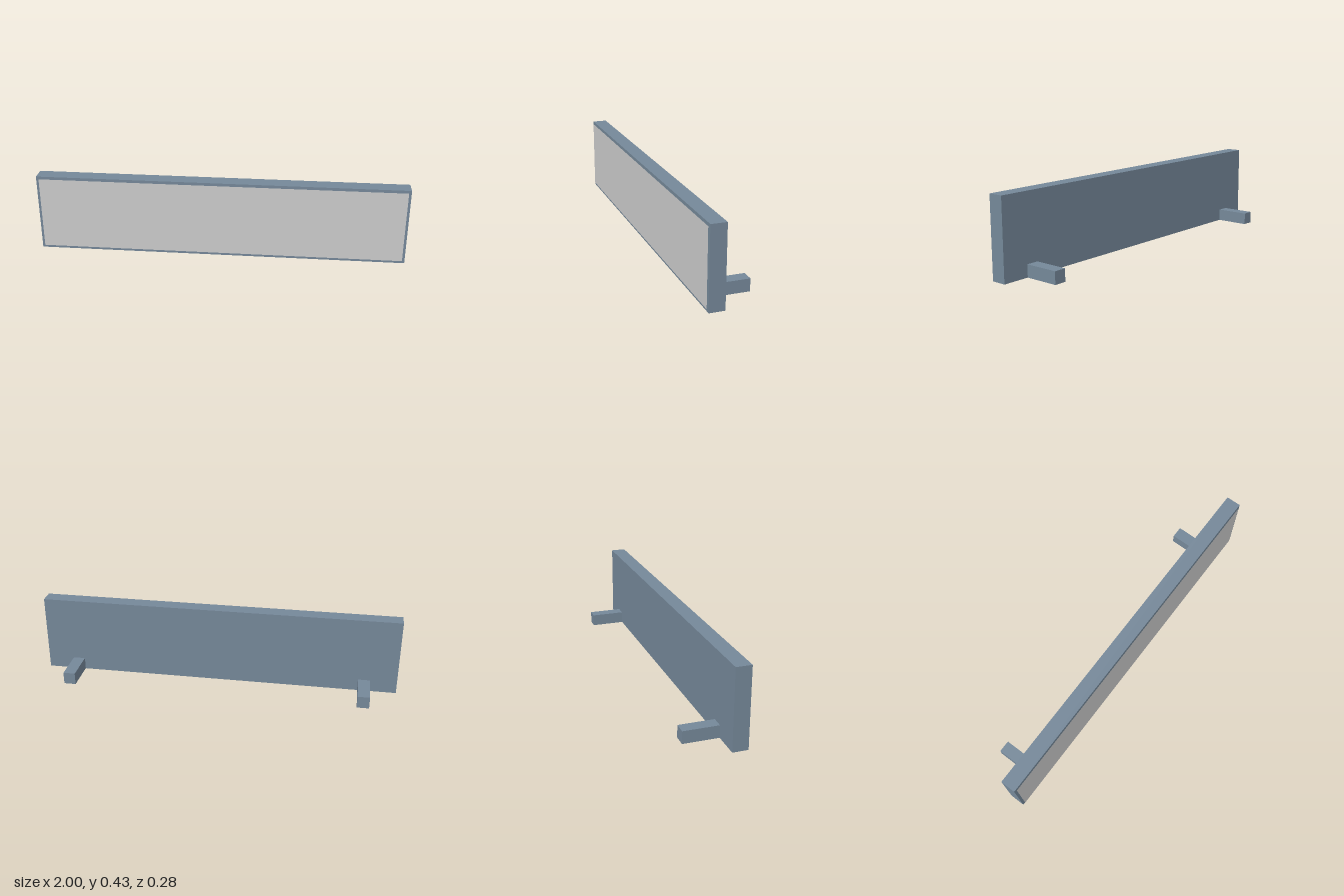
import * as THREE from 'three';

const WIDTH = 2, HEIGHT = 0.427, BORDER = 0.014;
const FACE_Z = 0.138, PANEL_FRONT = 0.134, PANEL_BACK = 0.052, FOOT_BACK = -0.138;

// Box given by its min and max corners
function block(name, min, max, material) {
  const size = max.map((v, i) => v - min[i]);
  const mesh = new THREE.Mesh(new THREE.BoxGeometry(...size), material);
  mesh.position.set(...max.map((v, i) => (v + min[i]) / 2));
  mesh.name = name;
  return mesh;
}

export function createModel() {
  const group = new THREE.Group();
  group.name = 'standingPanel';
  const body = new THREE.MeshStandardMaterial({ color: 0x758899 });
  const face = new THREE.MeshStandardMaterial({ color: 0xcccccc });

  // Upright slab
  group.add(block('panelBody',
    [-WIDTH / 2, 0, PANEL_BACK], [WIDTH / 2, HEIGHT, PANEL_FRONT], body));

  // Flat face sheet just ahead of the slab, leaving a narrow border all round
  const sheet = new THREE.Mesh(
    new THREE.PlaneGeometry(WIDTH - 2 * BORDER, HEIGHT - 2 * BORDER), face);
  sheet.position.set(0, HEIGHT / 2, FACE_Z);
  sheet.name = 'faceSheet';
  group.add(sheet);

  // Two feet reaching backwards
  for (const side of [1, -1]) {
    const x = side * 0.82;
    group.add(block(side > 0 ? 'leftFoot' : 'rightFoot',
      [x - 0.033, 0, FOOT_BACK], [x + 0.033, 0.067, PANEL_BACK], body));
  }
  return group;
}
